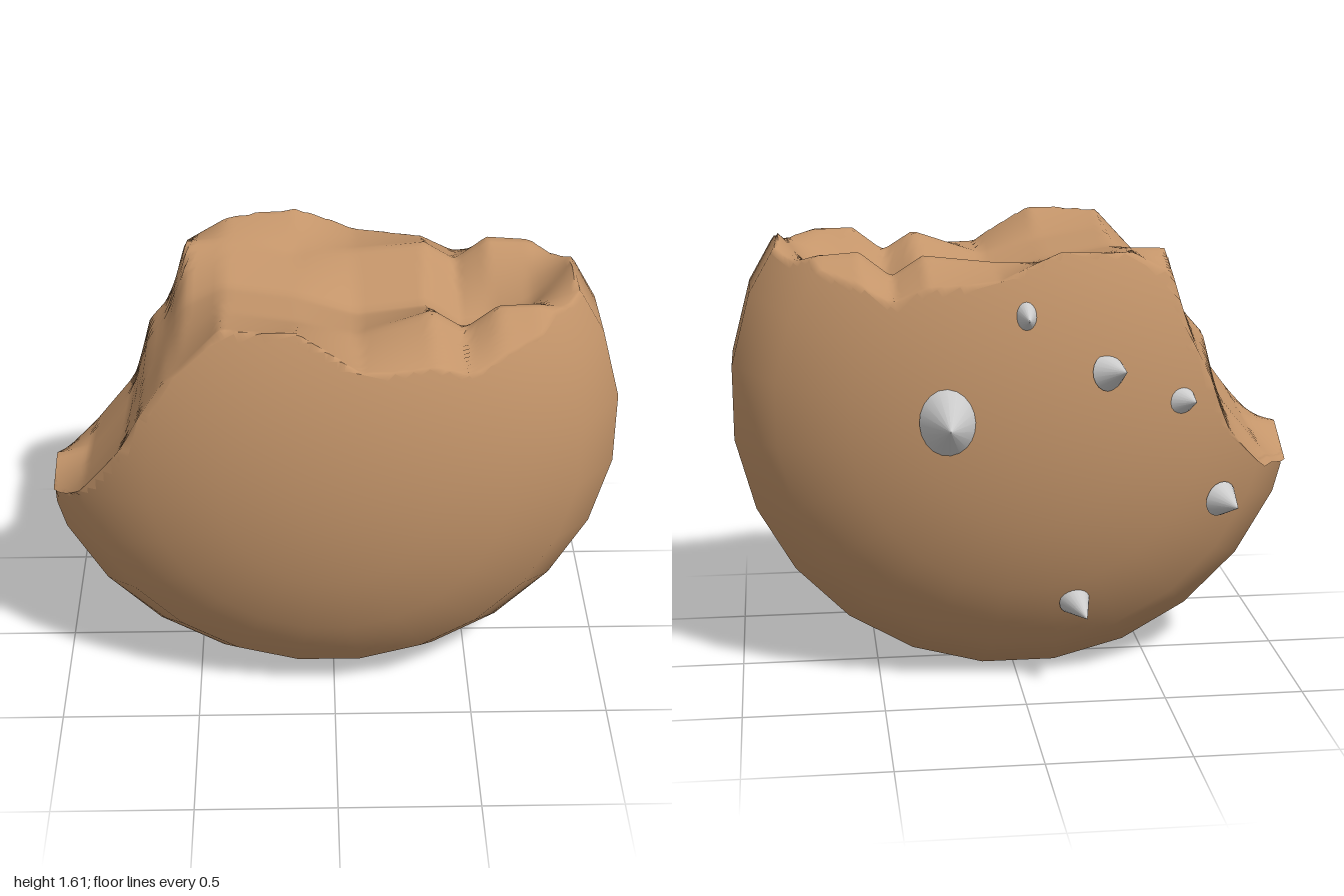
import * as THREE from 'three';
import { toCreasedNormals } from 'three/addons/utils/BufferGeometryUtils.js';

const CX = -0.02, CY = 1.025, CZ = 0.045;      // centre of the rounded body

// Rim-to-face profile: [radius, half depth]
const HALF = [[0, 0.567], [0.12, 0.565], [0.37, 0.53], [0.62, 0.455], [0.87, 0.32], [1.02, 0.125]];
const PROFILE = [...HALF, ...HALF.map(([r, z]) => [r, -z]).reverse()];

// Height of the broken top: [x, heights at the rows of z]
const ROWS = [-0.48, -0.22, 0.05, 0.28, 0.55];
const BREAK = [
  [-1.05, 0.45, 0.66, 0.86, 0.76, 0.70],
  [-0.88, 0.62, 0.84, 0.89, 0.91, 0.95],
  [-0.72, 0.92, 1.04, 1.07, 1.11, 1.17],
  [-0.66, 1.08, 1.27, 1.26, 1.26, 1.28],
  [-0.58, 1.28, 1.36, 1.37, 1.39, 1.40],
  [-0.52, 1.46, 1.58, 1.47, 1.46, 1.45],
  [-0.38, 1.60, 1.58, 1.54, 1.57, 1.62],
  [-0.13, 1.63, 1.53, 1.50, 1.53, 1.63],
  [0.08, 1.51, 1.54, 1.43, 1.48, 1.48],
  [0.33, 1.47, 1.57, 1.46, 1.57, 1.47],
  [0.44, 1.42, 1.50, 1.37, 1.50, 1.43],
  [0.55, 1.39, 1.59, 1.37, 1.59, 1.41],
  [0.69, 1.36, 1.58, 1.46, 1.59, 1.39],
  [0.83, 1.36, 1.53, 1.62, 1.54, 1.38],
  [1.05, 1.45, 1.60, 1.66, 1.60, 1.45],
];
const COLS = BREAK.map((row) => row[0]);

// Segment index and fraction of v within a rising list
function locate(list, v) {
  let i = 0;
  while (i < list.length - 2 && v > list[i + 1]) i++;
  return [i, THREE.MathUtils.clamp((v - list[i]) / (list[i + 1] - list[i]), 0, 1)];
}

function brokenHeight(x, z) {
  const [i, s] = locate(COLS, x), [j, t] = locate(ROWS, z);
  const across = (k) => THREE.MathUtils.lerp(BREAK[k][j + 1], BREAK[k][j + 2], t);
  return THREE.MathUtils.lerp(across(i), across(i + 1), s);
}

// 24-sided flattened round body, pressed down to the broken surface
function bodyGeometry() {
  const sides = 24, sub = 10, n = sides * sub, step = 8;
  const m = (PROFILE.length - 1) * step;
  const pos = [], index = [];
  for (let j = 0; j <= m; j++) {
    const k = Math.min(Math.floor(j / step), PROFILE.length - 2), f = j / step - k;
    const r0 = THREE.MathUtils.lerp(PROFILE[k][0], PROFILE[k + 1][0], f);
    const z = CZ + THREE.MathUtils.lerp(PROFILE[k][1], PROFILE[k + 1][1], f);
    for (let i = 0; i <= n; i++) {
      const a = ((i % n) / n) * Math.PI * 2, facet = (Math.PI * 2) / sides;
      const r = r0 / Math.cos(a - Math.round(a / facet) * facet);
      const x = Math.max(-1, CX + r * Math.cos(a));
      const y = Math.max(0, CY + r * Math.sin(a) * (CY / 1.02));
      pos.push(x, Math.min(y, brokenHeight(x, z)), z);
      if (i < n && j < m) {
        const p = j * (n + 1) + i, q = p + n + 1;
        index.push(p, q, p + 1, p + 1, q, q + 1);
      }
    }
  }
  const g = new THREE.BufferGeometry();
  g.setAttribute('position', new THREE.Float32BufferAttribute(pos, 3));
  g.setIndex(index);
  const out = toCreasedNormals(g, 1.2);

  // Smooth rounded shading on the unbroken skin
  const P = out.attributes.position, N = out.attributes.normal;
  const centre = new THREE.Vector3(CX, CY, CZ), v = new THREE.Vector3();
  const onSkin = (i) => P.getY(i) < brokenHeight(P.getX(i), P.getZ(i)) - 1e-4;
  for (let t = 0; t < P.count; t += 3) {
    if (!(onSkin(t) && onSkin(t + 1) && onSkin(t + 2))) continue;
    for (let i = t; i < t + 3; i++) {
      v.fromBufferAttribute(P, i).sub(centre);
      v.z /= 0.567 * 0.567;
      v.normalize();
      N.setXYZ(i, v.x, v.y, v.z);
    }
  }
  return out;
}

// Back studs: base centre, tip, radius, sideways squash
const STUDS = [
  [[0.265, 1.04, -0.49], [0.27, 1.04, -0.615], 0.12, 0.85],
  [[0, 1.395, -0.46], [0, 1.4, -0.57], 0.058, 0.75],
  [[-0.28, 1.2, -0.485], [-0.33, 1.22, -0.577], 0.065, 1],
  [[-0.55, 1.08, -0.42], [-0.59, 1.085, -0.487], 0.056, 1],
  [[-0.715, 0.69, -0.345], [-0.76, 0.68, -0.435], 0.065, 1],
  [[-0.19, 0.335, -0.36], [-0.22, 0.3, -0.47], 0.058, 1],
];

export function createModel() {
  const model = new THREE.Group();
  model.name = 'studdedBrokenShell';

  const body = new THREE.Mesh(bodyGeometry(), new THREE.MeshStandardMaterial({ color: 0xc4956a }));
  body.name = 'body';
  model.add(body);

  const grey = new THREE.MeshStandardMaterial({ color: 0xcccccc });
  const studs = new THREE.Group();
  studs.name = 'backStuds';
  for (const [base, tip, radius, squash] of STUDS) {
    const a = new THREE.Vector3(...base), b = new THREE.Vector3(...tip);
    const length = a.distanceTo(b);
    const cone = new THREE.ConeGeometry(radius, length, 20);
    cone.translate(0, length / 2, 0);
    const stud = new THREE.Mesh(cone, grey);
    stud.name = 'stud';
    stud.scale.x = squash;
    stud.position.copy(a);
    stud.quaternion.setFromUnitVectors(new THREE.Vector3(0, 1, 0), b.sub(a).normalize());
    studs.add(stud);
  }
  model.add(studs);
  return model;
}
